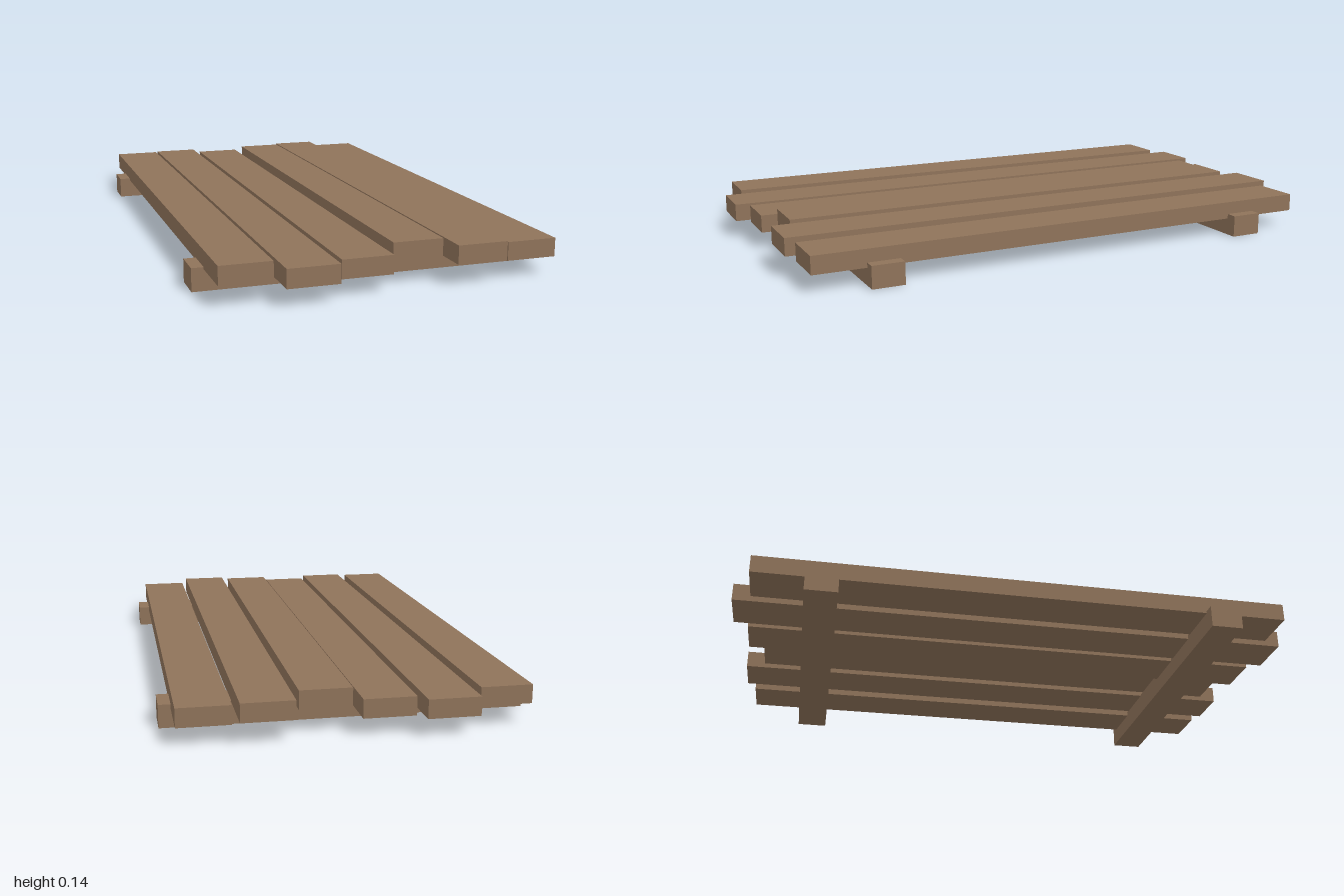
import * as THREE from 'three';

export function createModel() {
  const group = new THREE.Group();
  const wood = new THREE.MeshStandardMaterial({ color: 0x8f735a });
  wood.name = 'weatheredWood';

  const addBeam = (name, size, position) => {
    const beam = new THREE.Mesh(new THREE.BoxGeometry(...size), wood);
    beam.name = name;
    beam.position.set(...position);
    group.add(beam);
  };

  // Two bearers lying on the ground across the deck
  const bearerHeight = 0.077;
  for (const [name, z] of [['frontBearer', 0.7], ['backBearer', -0.7]]) {
    addBeam(name, [1.2, bearerHeight, 0.112], [0, bearerHeight / 2, z]);
  }

  // Uneven deck planks from right to left: [length, top height]
  const plankThickness = 0.062;
  const planks = [
    [1.874, 0.132],
    [2, 0.123],
    [1.902, 0.12],
    [1.796, 0.143],
    [1.934, 0.135],
    [1.874, 0.122],
  ];
  planks.forEach(([length, top], i) => {
    const x = (i - 2.5) * 0.19;
    addBeam(`plank${i + 1}`, [0.17, plankThickness, length], [x, top - plankThickness / 2, 0]);
  });

  return group;
}
